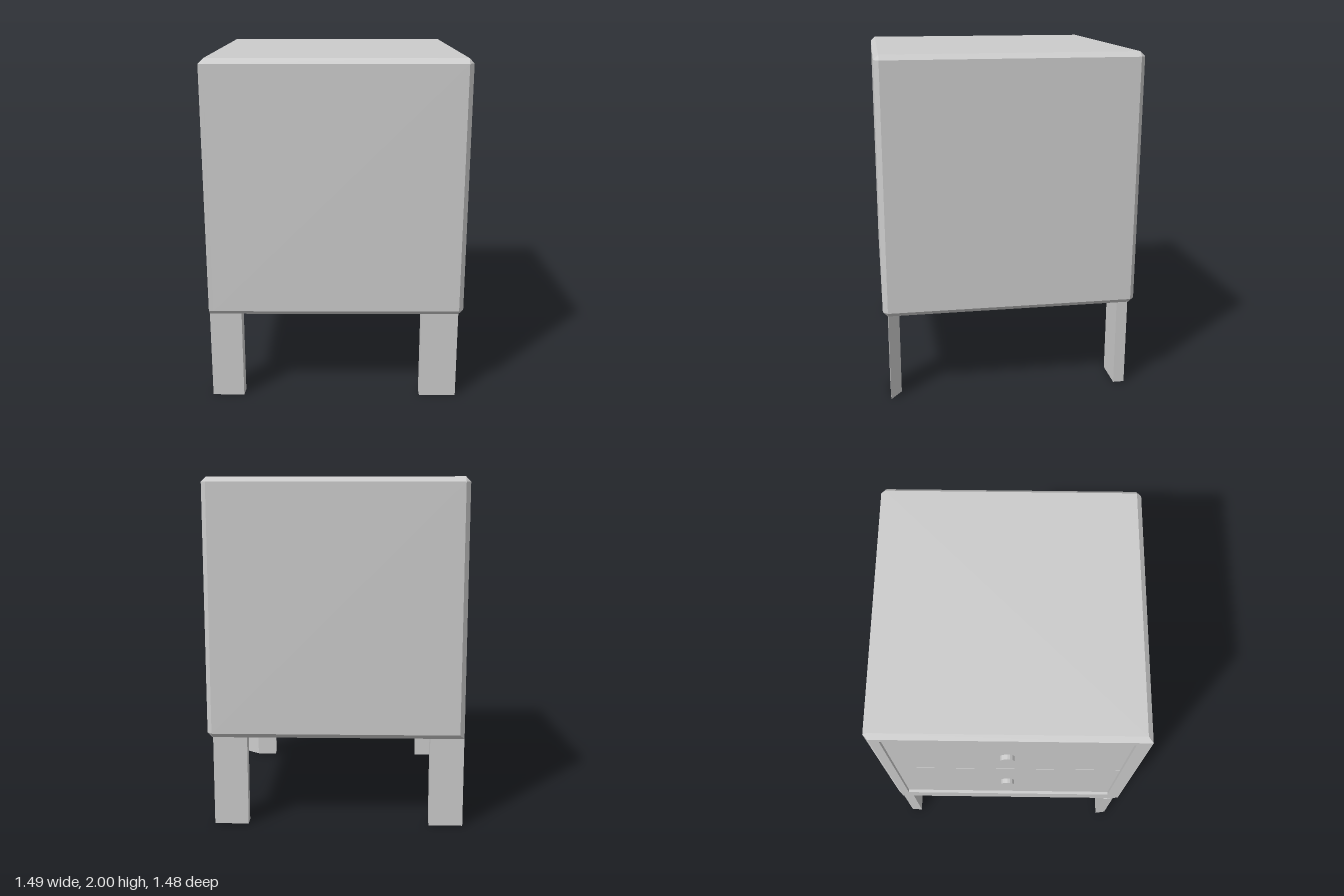
import * as THREE from 'three';

const grey = new THREE.MeshStandardMaterial({ color: 0xcccccc, flatShading: true });

// Eight-point section at x, with a chamfer per corner: bottom-back, top-back, top-front, bottom-front
function section(x, y0, y1, z0, z1, [a, b, c, d]) {
  return [
    [x, y0, z0 + a], [x, y0 + a, z0], [x, y1 - b, z0], [x, y1, z0 + b],
    [x, y1, z1 - c], [x, y1 - c, z1], [x, y0 + d, z1], [x, y0, z1 - d],
  ];
}

// Joins sections running from +x to -x and caps both ends
function loft(rings) {
  const pos = [];
  const tri = (...pts) => pts.forEach((p) => pos.push(...p));
  for (let i = 0; i < rings.length - 1; i++) {
    for (let j = 0; j < 8; j++) {
      const k = (j + 1) % 8;
      tri(rings[i][j], rings[i + 1][j], rings[i + 1][k]);
      tri(rings[i][j], rings[i + 1][k], rings[i][k]);
    }
  }
  const first = rings[0], last = rings[rings.length - 1];
  for (let j = 1; j < 7; j++) {
    tri(first[0], first[j], first[j + 1]);
    tri(last[0], last[j + 1], last[j]);
  }
  const geo = new THREE.BufferGeometry();
  geo.setAttribute('position', new THREE.Float32BufferAttribute(pos, 3));
  geo.computeVertexNormals();
  return geo;
}

// Upright prism from a plan outline of [x, z] points
function prism(outline, height) {
  const shape = new THREE.Shape(outline.map(([x, z]) => new THREE.Vector2(x, -z)));
  const geo = new THREE.ExtrudeGeometry(shape, { depth: height, bevelEnabled: false });
  return geo.rotateX(-Math.PI / 2);
}

export function createModel() {
  const group = new THREE.Group();
  const add = (name, geo, x = 0, y = 0, z = 0) => {
    const mesh = new THREE.Mesh(geo, grey);
    mesh.name = name;
    mesh.position.set(x, y, z);
    group.add(mesh);
    return mesh;
  };

  // Bevelled cabinet with a shallow recess on the drawer side (-x)
  const b = 0.028, none = [0, 0, 0, 0], all = [b, b, b, b];
  const open = { y0: 0.64, y1: 1.93, z0: -0.66, z1: 0.66 };
  const opening = (x) => section(x, open.y0, open.y1, open.z0, open.z1, none);
  add('cabinet', loft([
    section(0.742, 0.525 + b, 2 - b, -0.74 + b, 0.74 - b, none),
    section(0.742 - b, 0.525, 2, -0.74, 0.74, all),
    section(-0.735 + b, 0.525, 2, -0.74, 0.74, all),
    section(-0.735, 0.525, 2 - b, -0.74 + b, 0.74, [0, 0, 0, b]),
    opening(-0.735),
    opening(-0.705),
  ]));

  // Two drawer fronts, each with a round knob
  const gap = 0.006;
  const half = (open.y1 - open.y0) / 2;
  const mid = (open.y0 + open.y1) / 2;
  for (const [name, s] of [['upper', 1], ['lower', -1]]) {
    const front = new THREE.BoxGeometry(0.02, half - gap / 2, open.z1 - open.z0);
    add(name + 'Drawer', front, -0.707, mid + s * (half / 2 + gap / 4), 0);
    const knob = new THREE.CylinderGeometry(0.04, 0.04, 0.035, 16).rotateZ(Math.PI / 2);
    add(name + 'Knob', knob, -0.7275, mid + s * 0.305, -0.003);
  }

  // Slab legs; the front pair have slanted outer sides
  const legs = {
    frontLeftLeg: [[0.5, 0.71], [0.715, 0.71], [0.63, 0.645], [0.5, 0.645]],
    frontRightLeg: [[-0.735, 0.71], [-0.55, 0.71], [-0.545, 0.645], [-0.745, 0.645]],
    backLeftLeg: [[0.515, -0.64], [0.712, -0.64], [0.712, -0.706], [0.515, -0.706]],
    backRightLeg: [[-0.735, -0.64], [-0.54, -0.64], [-0.54, -0.706], [-0.735, -0.706]],
  };
  for (const [name, outline] of Object.entries(legs)) add(name, prism(outline, 0.53));

  return group;
}
